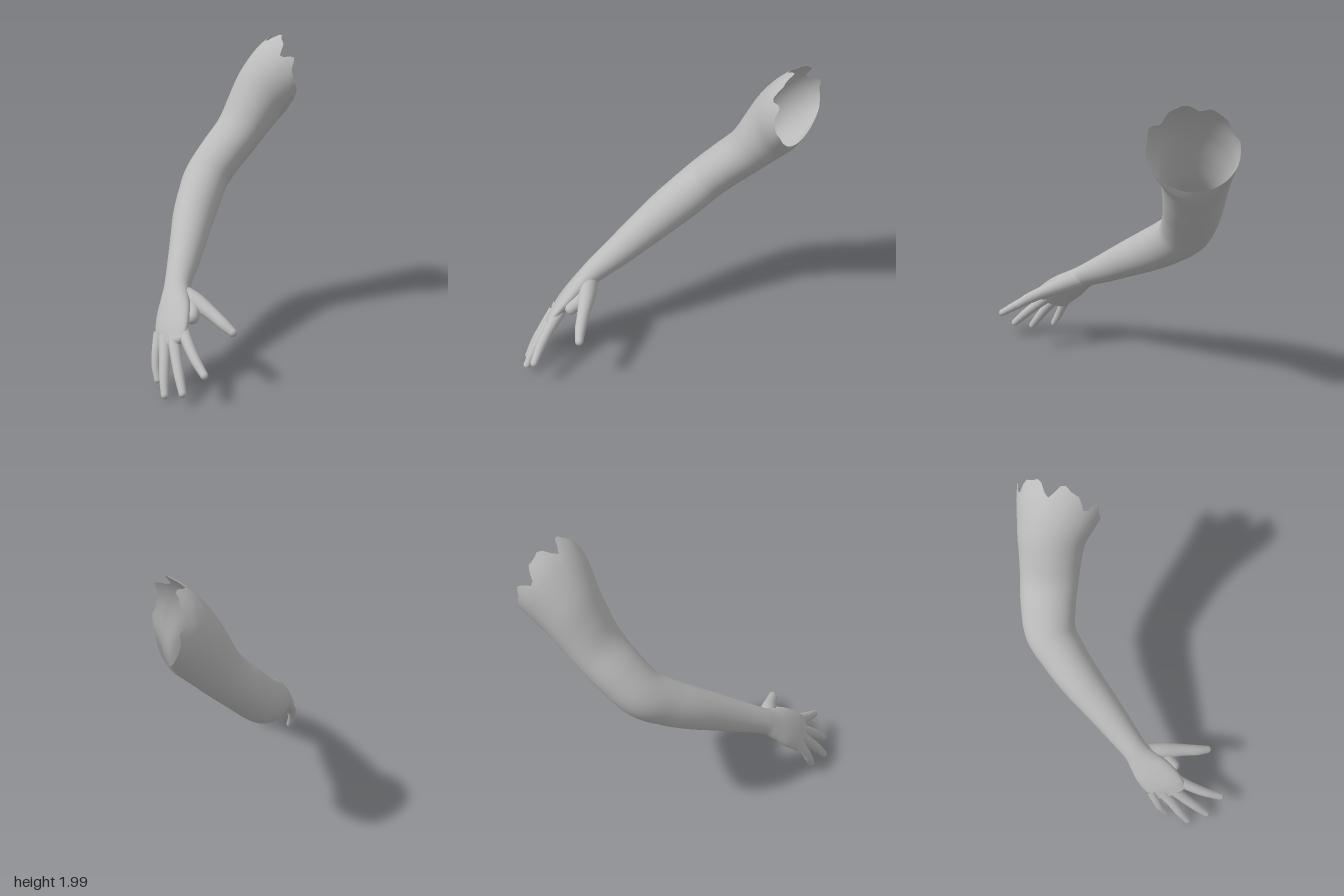
import * as THREE from 'three';

const skin = new THREE.MeshStandardMaterial({ color: 0xbbbbbb, side: THREE.DoubleSide });
skin.name = 'grey skin';

// Loft through rings [x, y, z, a, b, angle]: a runs along the direction "angle" (degrees, in xy),
// b runs across it. The far end is closed by a rounded cap; trim(theta) eats into the open start.
function loft(name, rings, rows, cols, trim = () => 0) {
  const path = new THREE.CatmullRomCurve3(rings.map(r => new THREE.Vector3(r[0], r[1], r[2])));
  const sizes = new THREE.CatmullRomCurve3(
    rings.map(r => new THREE.Vector3(r[3], r[4], (r[5] ?? 135) / 100)), false, 'catmullrom', 0.5);
  const fixedAngle = rings[0].length > 5;
  const capRows = 8;
  const positions = [], index = [];

  function surfacePoint(s, theta, phi) {
    const c = path.getPoint(s), t = path.getTangent(s), k = sizes.getPoint(s);
    const ang = THREE.MathUtils.degToRad(k.z * 100);
    const u = new THREE.Vector3(Math.cos(ang), Math.sin(ang), 0);
    if (!fixedAngle) u.addScaledVector(t, -u.dot(t)).normalize();
    const v = t.clone().cross(u).normalize();
    const shrink = Math.cos(phi);
    return c.addScaledVector(u, k.x * Math.cos(theta) * shrink)
      .addScaledVector(v, k.y * Math.sin(theta) * shrink)
      .addScaledVector(t, Math.min(k.x, k.y) * Math.sin(phi));
  }

  for (let i = 0; i <= rows + capRows; i++) {
    const s = Math.min(i / rows, 1);
    const phi = Math.max(0, i - rows) / capRows * Math.PI * 0.4995;
    const ramp = Math.max(0, 1 - s / 0.12);
    for (let j = 0; j < cols; j++) {
      const theta = j / cols * Math.PI * 2;
      positions.push(...surfacePoint(s + trim(theta) * ramp, theta, phi).toArray());
      if (i === rows + capRows) continue;
      const n = (j + 1) % cols, p = i * cols, q = p + cols;
      index.push(p + j, p + n, q + j, p + n, q + n, q + j);
    }
  }
  const geo = new THREE.BufferGeometry();
  geo.setAttribute('position', new THREE.Float32BufferAttribute(positions, 3));
  geo.setIndex(index);
  geo.computeVertexNormals();
  const mesh = new THREE.Mesh(geo, skin);
  mesh.name = name;
  return mesh;
}

// Round digit through [x, y, z, radius] points
const digit = (name, pts) => loft(name, pts.map(([x, y, z, r]) => [x, y, z, r, r]), 28, 20);

// Ragged edge on the upper side of the open shoulder end
function raggedEdge(theta) {
  const upper = THREE.MathUtils.smoothstep(Math.cos(theta), -0.6, 0.3);
  return upper * (0.028 + 0.017 * Math.sin(7 * theta + 0.6) + 0.009 * Math.sin(13 * theta));
}

export function createModel() {
  const group = new THREE.Group();
  group.name = 'arm';

  // Shoulder end, upper arm, elbow, forearm, wrist and palm
  group.add(loft('armAndPalm', [
    [0.715, 1.755, -0.52, 0.255, 0.28, 93],
    [0.635, 1.685, -0.535, 0.245, 0.255, 106],
    [0.545, 1.575, -0.55, 0.212, 0.218, 122],
    [0.46, 1.45, -0.55, 0.178, 0.198, 132],
    [0.37, 1.325, -0.545, 0.154, 0.187, 135],
    [0.24, 1.19, -0.535, 0.148, 0.177, 135],
    [0.105, 1.05, -0.50, 0.146, 0.165, 135],
    [0.0, 0.945, -0.40, 0.145, 0.15, 135],
    [-0.104, 0.849, -0.28, 0.137, 0.138, 135],
    [-0.22, 0.74, -0.125, 0.118, 0.12, 135],
    [-0.33, 0.635, 0.02, 0.098, 0.102, 135],
    [-0.435, 0.54, 0.155, 0.076, 0.088, 135],
    [-0.478, 0.49, 0.215, 0.068, 0.105, 137],
    [-0.53, 0.42, 0.295, 0.062, 0.135, 140],
    [-0.58, 0.345, 0.375, 0.05, 0.14, 143],
    [-0.612, 0.285, 0.425, 0.036, 0.128, 146],
  ], 130, 56, raggedEdge));

  // Thumb with the ball at its base, and the web beside it
  group.add(digit('thumb', [
    [-0.435, 0.505, 0.215, 0.062], [-0.39, 0.478, 0.33, 0.056], [-0.35, 0.437, 0.46, 0.042],
    [-0.322, 0.397, 0.56, 0.036], [-0.295, 0.362, 0.63, 0.027],
  ]));
  group.add(digit('thumbWeb', [
    [-0.48, 0.46, 0.25, 0.05], [-0.435, 0.445, 0.36, 0.048], [-0.462, 0.42, 0.42, 0.042],
  ]));

  // Four fingers
  const fingers = {
    indexFinger: [[-0.54, 0.375, 0.44], [-0.56, 0.3, 0.58], [-0.565, 0.25, 0.67], [-0.56, 0.19, 0.775]],
    middleFinger: [[-0.59, 0.33, 0.42], [-0.625, 0.232, 0.53], [-0.648, 0.15, 0.62], [-0.665, 0.07, 0.70]],
    ringFinger: [[-0.62, 0.31, 0.37], [-0.668, 0.2, 0.46], [-0.70, 0.115, 0.52], [-0.725, 0.027, 0.58]],
    littleFinger: [[-0.63, 0.31, 0.30], [-0.672, 0.205, 0.35], [-0.69, 0.135, 0.38], [-0.698, 0.06, 0.42]],
  };
  const radii = [0.04, 0.034, 0.031, 0.024];
  for (const [name, pts] of Object.entries(fingers)) {
    const size = name === 'littleFinger' ? 0.88 : 1;
    group.add(digit(name, pts.map((p, i) => [...p, radii[i] * size])));
  }
  return group;
}
